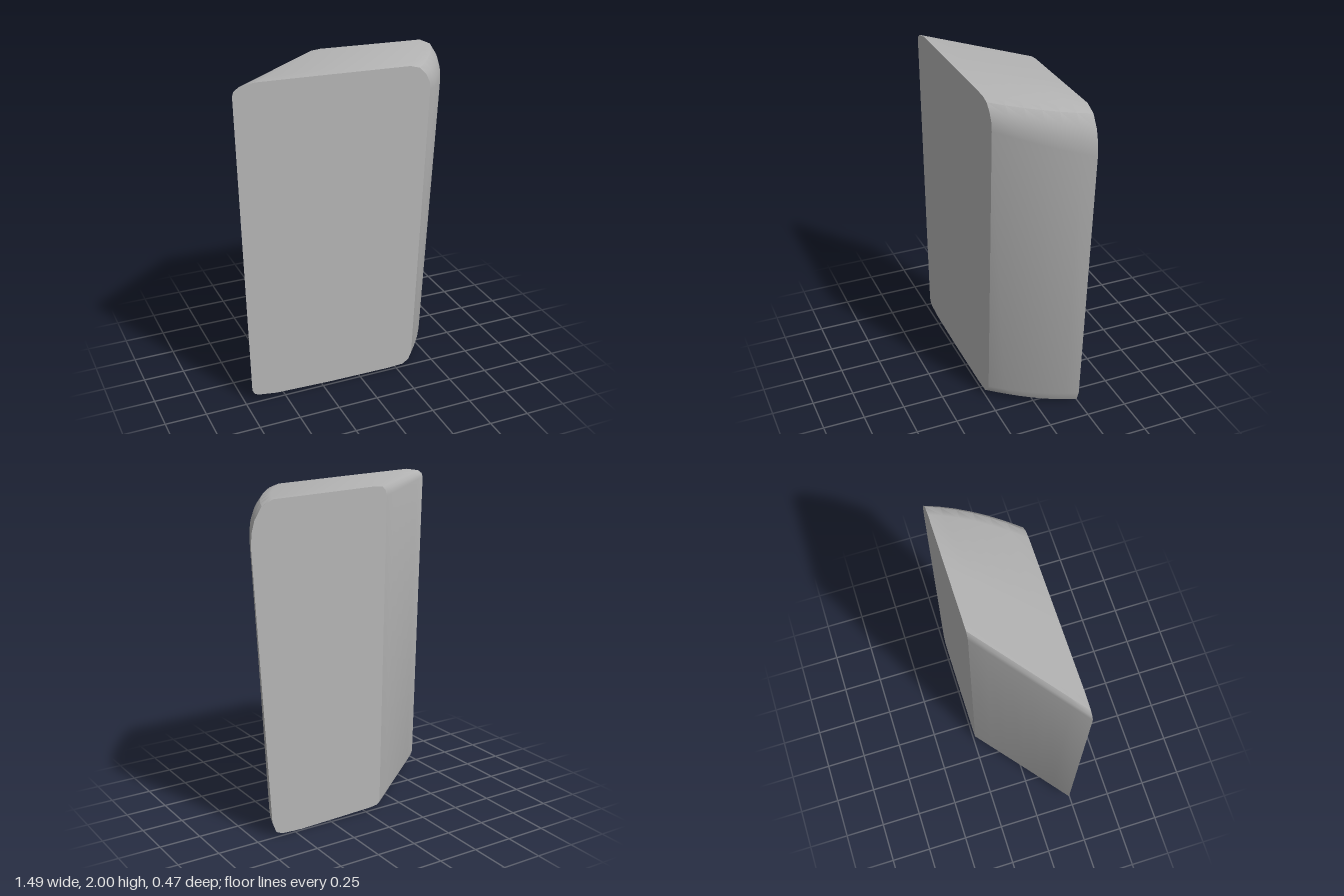
import * as THREE from 'three';
import { toCreasedNormals } from 'three/addons/utils/BufferGeometryUtils.js';

// Matching rounded outlines, counter-clockwise from the lower -x corner
const FRONT = [
  [-0.705, 0.08], [-0.69, 0.05], [-0.66, 0.038], [-0.55, 0.022], [-0.2, 0.01], [0.2, 0.005],
  [0.30, 0.01], [0.34, 0.035], [0.36, 0.08],
  [0.43, 1.82], [0.425, 1.87], [0.40, 1.92], [0.36, 1.96], [0.30, 1.977],
  [-0.2, 1.99], [-0.62, 2.0], [-0.71, 1.985], [-0.738, 1.965], [-0.747, 1.94],
];
const BACK = [
  [-0.11, 0.06], [-0.105, 0.03], [-0.09, 0.02], [-0.04, 0.014], [0.15, 0.008], [0.45, 0],
  [0.58, 0.006], [0.62, 0.025], [0.645, 0.09],
  [0.74, 1.72], [0.735, 1.80], [0.715, 1.87], [0.67, 1.94], [0.60, 1.972],
  [0.3, 1.98], [-0.05, 1.99], [-0.11, 1.985], [-0.13, 1.965], [-0.14, 1.93],
];
const HALF_DEPTH = 0.237;
const STEPS = 6;

// One cross-section between front (t = 0) and back (t = 1); the +x wall bows outward
function section(t) {
  return FRONT.map(([x, y], i) => {
    const bow = i >= 6 && i <= 13 ? 0.032 * 4 * t * (1 - t) : 0;
    return [
      THREE.MathUtils.lerp(x, BACK[i][0], t) + bow,
      THREE.MathUtils.lerp(y, BACK[i][1], t),
      THREE.MathUtils.lerp(HALF_DEPTH, -HALF_DEPTH, t),
    ];
  });
}

function meshGeometry(points, index) {
  const g = new THREE.BufferGeometry();
  g.setAttribute('position', new THREE.Float32BufferAttribute(points.flat(), 3));
  g.setIndex(index);
  g.computeVertexNormals();
  return g;
}

// Flat convex end, fanned from its first corner
function capGeometry(t) {
  const index = [];
  for (let i = 1; i < FRONT.length - 1; i++) index.push(...(t === 0 ? [0, i, i + 1] : [0, i + 1, i]));
  return meshGeometry(section(t), index);
}

// Skin joining all cross-sections
function wallGeometry() {
  const n = FRONT.length, points = [], index = [];
  for (let s = 0; s <= STEPS; s++) points.push(...section(s / STEPS));
  for (let s = 0; s < STEPS; s++) {
    for (let i = 0; i < n; i++) {
      const j = (i + 1) % n, a = s * n + i, b = s * n + j;
      index.push(a, a + n, b, b, a + n, b + n);
    }
  }
  return toCreasedNormals(meshGeometry(points, index), 0.6);
}

export function createModel() {
  const group = new THREE.Group();
  group.name = 'slantedBlock';
  const grey = new THREE.MeshStandardMaterial({ color: 0xb4b4b4 });
  grey.name = 'grey';
  const add = (name, geometry) => {
    const mesh = new THREE.Mesh(geometry, grey);
    mesh.name = name;
    group.add(mesh);
  };
  add('frontFace', capGeometry(0));
  add('backFace', capGeometry(1));
  add('sideWall', wallGeometry());
  return group;
}
